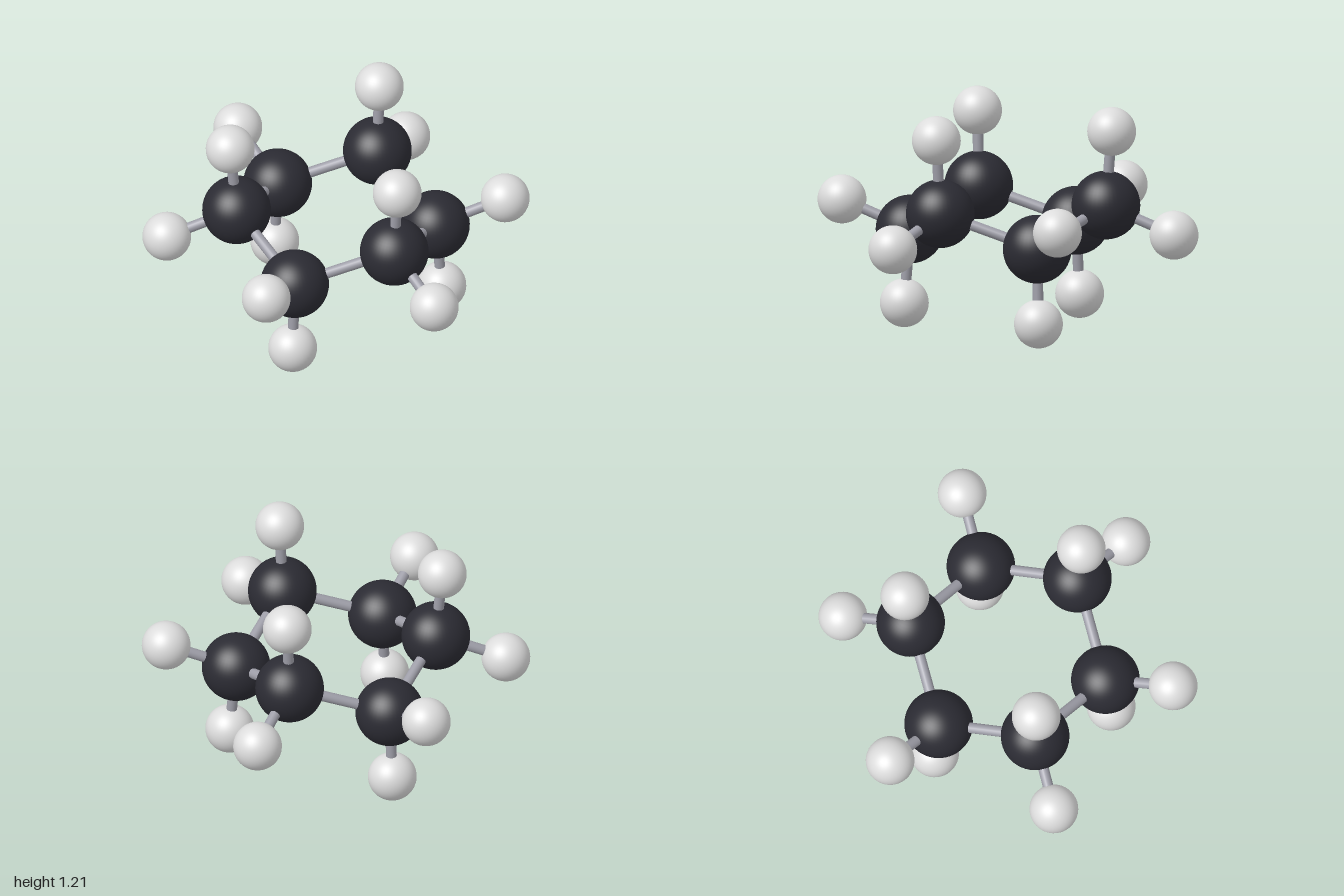
import * as THREE from 'three';

const MID_Y = 0.604;
const LARGE_R = 0.18, SMALL_R = 0.128, ROD_R = 0.028;

export function createModel() {
  const model = new THREE.Group();
  model.name = 'ringMolecule';

  const material = (name, color) => {
    const m = new THREE.MeshStandardMaterial({ color });
    m.name = name;
    return m;
  };
  const dark = material('charcoal', 0x2b2b33);
  const pale = material('paleGrey', 0xdcdcdc);
  const metal = material('rodGrey', 0x9e9ea8);

  const largeBall = new THREE.SphereGeometry(LARGE_R, 48, 32);
  const smallBall = new THREE.SphereGeometry(SMALL_R, 40, 28);

  const addBall = (name, geometry, mat, position) => {
    const ball = new THREE.Mesh(geometry, mat);
    ball.name = name;
    ball.position.copy(position);
    model.add(ball);
  };

  // Rod joining two ball centres
  const addRod = (name, a, b) => {
    const dir = b.clone().sub(a);
    const rod = new THREE.Mesh(
      new THREE.CylinderGeometry(ROD_R, ROD_R, dir.length(), 20, 1, true), metal);
    rod.name = name;
    rod.position.copy(a).add(b).multiplyScalar(0.5);
    rod.quaternion.setFromUnitVectors(new THREE.Vector3(0, 1, 0), dir.normalize());
    model.add(rod);
  };

  // Raised half of the ring, relative to the centre: ring atom, upright atom, outer atom
  const half = [
    [[0.107, 0.084, -0.515], [0.111, 0.476, -0.545], [0.18, -0.062, -0.873]],
    [[0.39, 0.084, 0.347], [0.41, 0.476, 0.367], [0.658, -0.062, 0.59]],
    [[-0.497, 0.084, 0.163], [-0.53, 0.476, 0.17], [-0.846, -0.062, 0.276]],
  ];
  const place = (p, sign) => new THREE.Vector3(...p).multiplyScalar(sign).add(new THREE.Vector3(0, MID_Y, 0));

  // The lowered half is the raised half reflected through the centre
  const ring = [];
  for (const sign of [1, -1]) {
    for (const points of half) {
      const [core, axial, outer] = points.map((p) => place(p, sign));
      ring.push(core);
      addBall('ringAtom', largeBall, dark, core);
      addBall('axialAtom', smallBall, pale, axial);
      addBall('outerAtom', smallBall, pale, outer);
      addRod('axialRod', core, axial);
      addRod('outerRod', core, outer);
    }
  }

  // Ring rods between neighbours, ordered by angle
  ring.sort((a, b) => Math.atan2(a.z, a.x) - Math.atan2(b.z, b.x));
  ring.forEach((p, i) => addRod('ringRod', p, ring[(i + 1) % ring.length]));

  return model;
}
